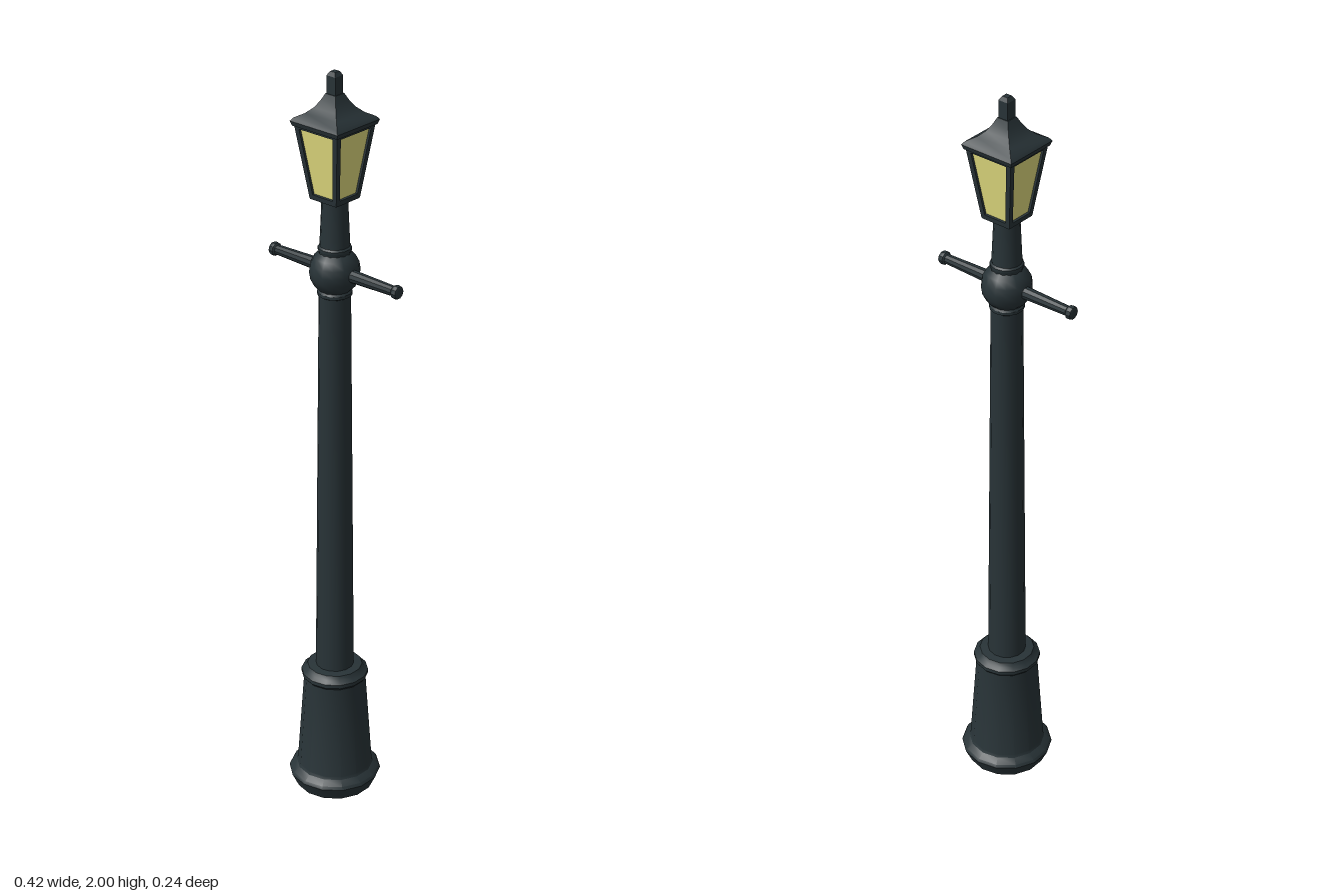
import * as THREE from 'three';
import { toCreasedNormals } from 'three/addons/utils/BufferGeometryUtils.js';

const iron = new THREE.MeshStandardMaterial({ color: 0x283337 });
const glow = new THREE.MeshStandardMaterial({ color: 0xe4de80 });

// Turned part from [radius, height] pairs
function turned(name, profile, sides = 14, material = iron) {
  const points = profile.map(([r, y]) => new THREE.Vector2(r, y));
  const geometry = toCreasedNormals(new THREE.LatheGeometry(points, sides), 0.5);
  const mesh = new THREE.Mesh(geometry, material);
  mesh.name = name;
  return mesh;
}

// Square part from [half width, height] pairs
function squared(name, profile, material = iron) {
  const mesh = turned(name, profile.map(([w, y]) => [w * Math.SQRT2, y]), 4, material);
  mesh.rotation.y = Math.PI / 4;
  return mesh;
}

function trapezoid(Type, y0, w0, y1, w1) {
  const path = new Type();
  path.moveTo(-w0, y0);
  path.lineTo(w0, y0);
  path.lineTo(w1, y1);
  path.lineTo(-w1, y1);
  path.closePath();
  return path;
}

function createLantern() {
  const lantern = new THREE.Group();
  lantern.name = 'lantern';
  const bottom = 1.68, height = 0.19, w0 = 0.043, w1 = 0.069;
  const slant = Math.hypot(height, w1 - w0);

  // Four leaning window frames
  const shape = trapezoid(THREE.Shape, 0, w0, slant, w1);
  shape.holes.push(trapezoid(THREE.Path, 0.012, w0 - 0.011, slant - 0.01, w1 - 0.015));
  const frameGeometry = new THREE.ExtrudeGeometry(shape, { depth: 0.01, bevelEnabled: false });
  frameGeometry.translate(0, 0, -0.01);
  frameGeometry.rotateX(Math.atan2(w1 - w0, height));
  frameGeometry.translate(0, bottom, w0);
  for (let i = 0; i < 4; i++) {
    const frame = new THREE.Mesh(frameGeometry, iron);
    frame.name = 'windowFrame';
    frame.rotation.y = i * Math.PI / 2;
    lantern.add(frame);
  }

  lantern.add(
    squared('glass', [[w0 - 0.006, bottom + 0.002], [w1 - 0.006, bottom + height]], glow),
    squared('lanternFloor', [[0, 1.678], [0.042, 1.678], [0.043, 1.686], [0, 1.686]]),
    // Sweeping roof and finial
    squared('roof', [
      [0, 1.866], [0.072, 1.866], [0.076, 1.878], [0.07, 1.886], [0.05, 1.897],
      [0.035, 1.911], [0.024, 1.928], [0.016, 1.945], [0, 1.945]]),
    squared('finial', [[0.014, 1.94], [0.014, 1.99], [0.008, 2], [0, 2]])
  );
  return lantern;
}

export function createModel() {
  const model = new THREE.Group();
  model.name = 'streetLamp';

  model.add(
    turned('base', [
      [0, 0], [0.104, 0], [0.122, 0.038], [0.118, 0.046], [0.102, 0.058],
      [0.099, 0.065], [0.081, 0.328], [0.088, 0.336], [0.088, 0.346],
      [0.078, 0.354], [0.072, 0.364], [0.05, 0.366]]),
    turned('pole', [[0.05, 0.36], [0.04, 1.43]]),
    turned('lowerCollar', [[0.038, 1.424], [0.044, 1.428], [0.044, 1.436], [0.04, 1.442], [0.04, 1.46]]),
    turned('upperCollar', [[0.04, 1.53], [0.04, 1.542], [0.042, 1.546], [0.042, 1.553], [0.037, 1.558]]),
    turned('neck', [[0.038, 1.55], [0.033, 1.66], [0.033, 1.682]])
  );

  const ball = new THREE.Mesh(new THREE.SphereGeometry(0.064, 14, 10), iron);
  ball.name = 'ball';
  ball.position.y = 1.49;
  model.add(ball);

  // Ladder rest arms with knobbed ends
  for (const side of [-1, 1]) {
    const arm = turned('ladderArm', [
      [0.017, 0.04], [0.013, 0.19], [0.017, 0.194], [0.018, 0.2],
      [0.016, 0.207], [0.01, 0.21], [0, 0.21]], 10);
    arm.position.y = 1.49;
    arm.rotation.z = -side * Math.PI / 2;
    model.add(arm);
  }

  model.add(createLantern());
  return model;
}
